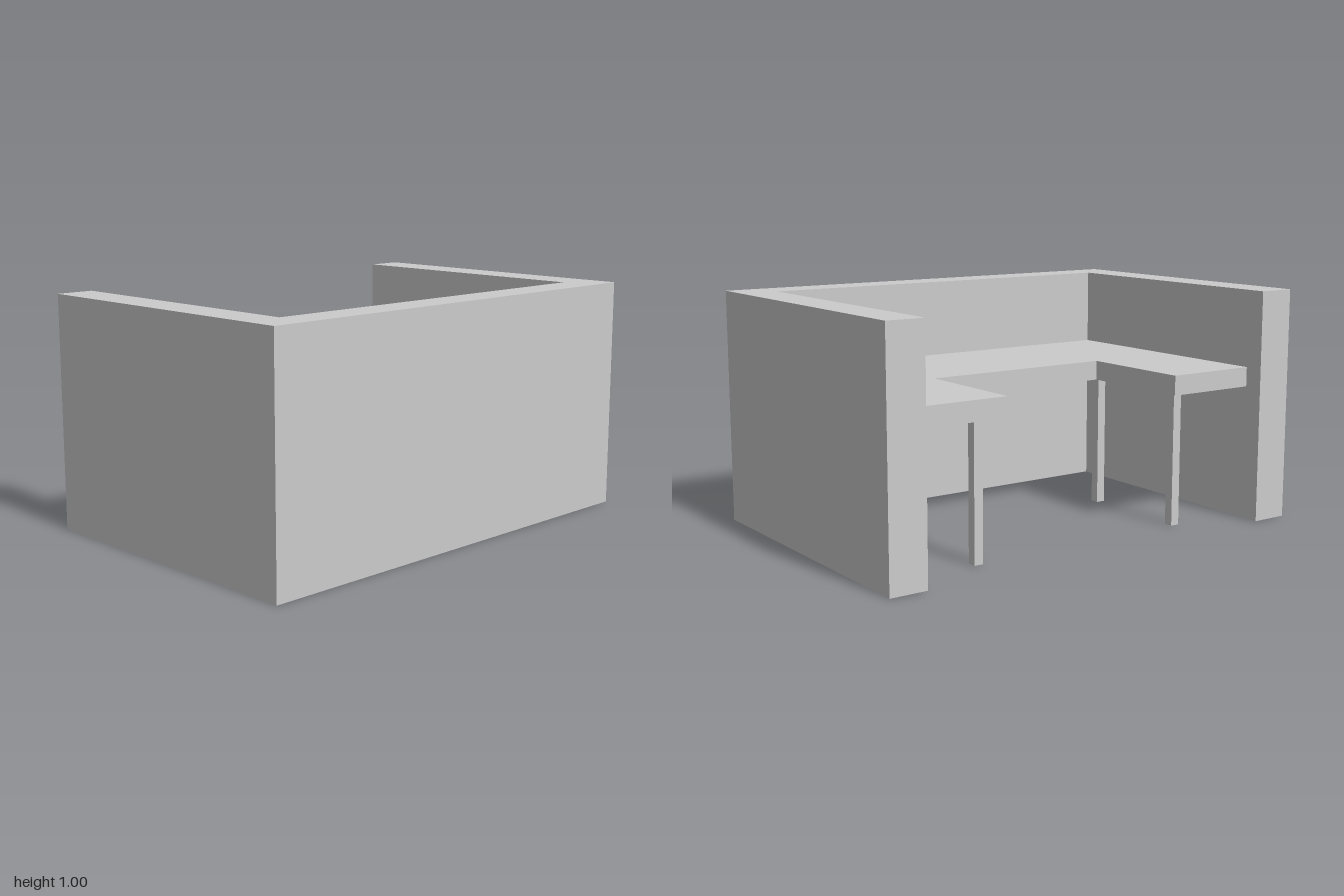
import * as THREE from 'three';

const material = new THREE.MeshStandardMaterial({ color: 0xcccccc, flatShading: true });

// Extrudes a plan outline of [x, z] corners upward from y0 to y1
function slab(name, outline, y0, y1) {
  const shape = new THREE.Shape(outline.map(([x, z]) => new THREE.Vector2(x, -z)));
  const geometry = new THREE.ExtrudeGeometry(shape, { depth: y1 - y0, bevelEnabled: false });
  geometry.rotateX(-Math.PI / 2);
  geometry.translate(0, y0, 0);
  const mesh = new THREE.Mesh(geometry, material);
  mesh.name = name;
  return mesh;
}

// Completes a symmetric outline from its +x half
const mirrored = (half) => [...half, ...half.map(([x, z]) => [-x, z]).reverse()];

export function createModel() {
  const group = new THREE.Group();
  group.name = 'receptionDesk';

  const innerX = 0.837, innerZ = 0.513, back = 0.667;
  const topY = 0.667, undersideY = 0.583;

  // U-shaped privacy wall, open at the back
  group.add(slab('surroundWall', mirrored([
    [1, back], [1, -back], [innerX, -back], [innerX, innerZ],
  ]), 0, 1));

  // U-shaped worktop fitted inside the wall
  group.add(slab('worktop', mirrored([
    [innerX, innerZ], [innerX, -0.585], [0.425, -0.585], [0.425, -0.067],
  ]), undersideY, topY));

  // Four square legs under the inner edges of the worktop
  const legGeometry = new THREE.BoxGeometry(0.04, undersideY, 0.04);
  for (const side of [-1, 1]) {
    for (const z of [-0.49, 0.015]) {
      const leg = new THREE.Mesh(legGeometry, material);
      leg.name = `${side > 0 ? 'left' : 'right'}${z < -0.2 ? 'Back' : 'Front'}Leg`;
      leg.position.set(side * 0.508, undersideY / 2, z);
      group.add(leg);
    }
  }

  return group;
}
